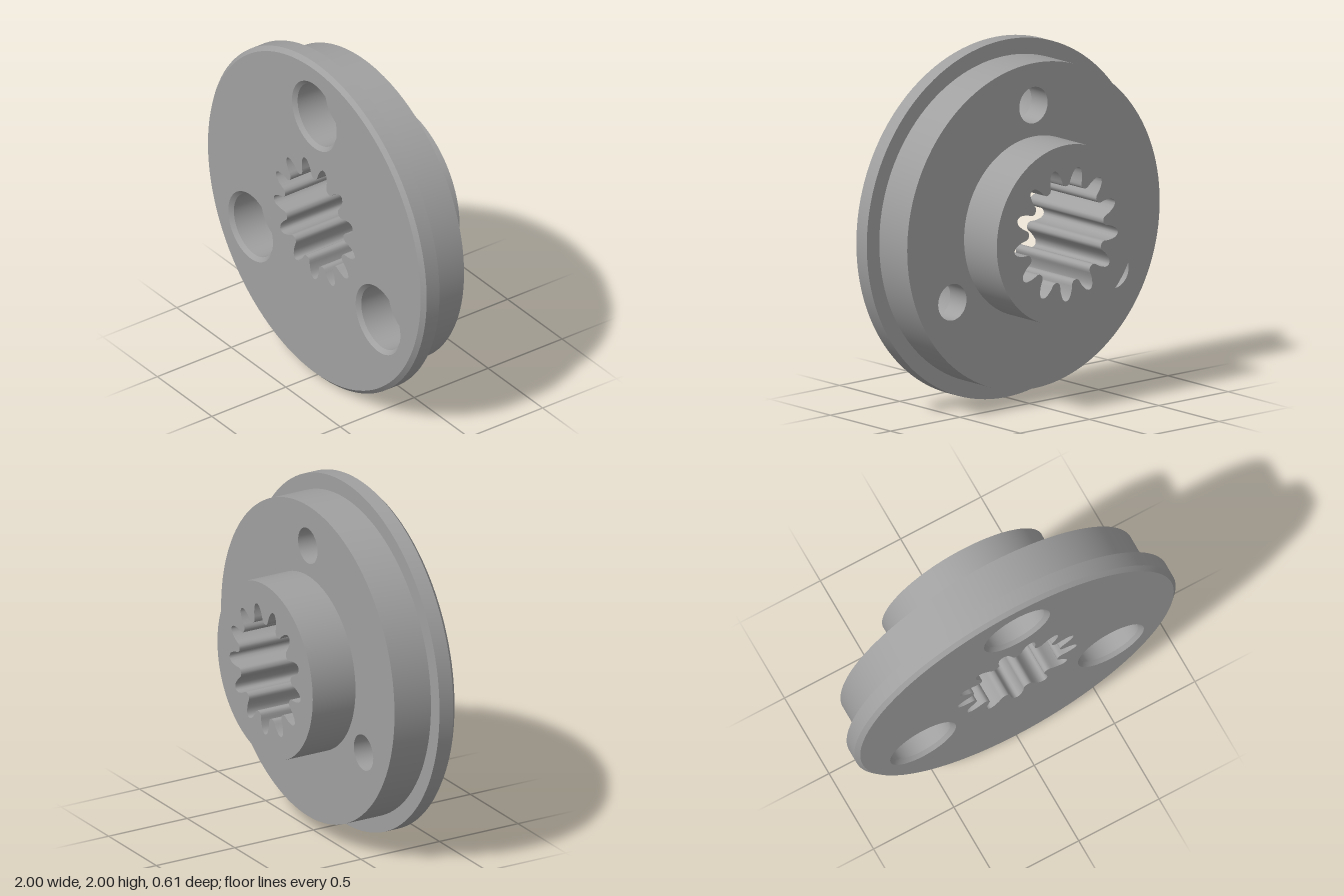
import * as THREE from 'three';

const steel = new THREE.MeshStandardMaterial({ color: 0xa0a0a0 });
steel.name = 'steel grey';

// z stations, front to back
const FRONT = 0.307, CHAMFER = 0.284, FLANGE = 0.197, FLOOR = 0.1, BODY = -0.035, BACK = -0.307;
const TEETH = 13, BOLT_CIRCLE = 0.675;

// Counter-clockwise circle outline
function circle(r, cx = 0, cy = 0, n = 128) {
  return Array.from({ length: n }, (_, i) => {
    const a = (i / n) * Math.PI * 2;
    return new THREE.Vector2(cx + r * Math.cos(a), cy + r * Math.sin(a));
  });
}

// Counter-clockwise outline of the splined bore, one groove pointing straight down
function splineOutline() {
  // radius and angle (degrees) from groove bottom to the rounded tooth tip
  const half = [[0.375, 0], [0.372, 1.8], [0.36, 4], [0.34, 5.7], [0.32, 7.1],
    [0.3, 8.1], [0.285, 8.8], [0.275, 10.4], [0.271, 12]];
  const groove = [
    ...half.slice(1).reverse().map(([r, a]) => [r, -a]),
    ...half,
    [0.27, 180 / TEETH],
  ];
  const points = [];
  for (let i = 0; i < TEETH; i++) {
    for (const [r, a] of groove) {
      const t = THREE.MathUtils.degToRad(-90 + (i * 360) / TEETH + a);
      points.push(new THREE.Vector2(r * Math.cos(t), r * Math.sin(t)));
    }
  }
  return points;
}

// Smooth wall between two matching outlines; faces outward when zA > zB, inward otherwise
function wall(name, a, zA, b, zB) {
  const n = a.length, pos = [], index = [];
  a.forEach(p => pos.push(p.x, p.y, zA));
  b.forEach(p => pos.push(p.x, p.y, zB));
  for (let i = 0; i < n; i++) {
    const j = (i + 1) % n;
    index.push(i, n + i, j, j, n + i, n + j);
  }
  const g = new THREE.BufferGeometry();
  g.setAttribute('position', new THREE.Float32BufferAttribute(pos, 3));
  g.setIndex(index);
  g.computeVertexNormals();
  return named(name, g);
}

// Flat face with holes, looking forward or backward
function face(name, outline, holes, z, backward = false) {
  const shape = new THREE.Shape(outline);
  shape.holes = holes.map(h => new THREE.Path(h));
  const g = new THREE.ShapeGeometry(shape);
  if (backward) g.rotateY(Math.PI);
  g.translate(0, 0, z);
  return named(name, g);
}

function named(name, geometry) {
  const mesh = new THREE.Mesh(geometry, steel);
  mesh.name = name;
  return mesh;
}

export function createModel() {
  const model = new THREE.Group();
  model.name = 'splinedHubFlange';
  const disc = new THREE.Group();
  disc.name = 'steppedDisc';
  disc.position.y = 1;
  model.add(disc);

  const bore = splineOutline();
  const rim = circle(1), rimFront = circle(0.976), body = circle(0.91), hub = circle(0.5);
  const bolts = [90, 210, 330].map(d => {
    const a = THREE.MathUtils.degToRad(d);
    return [BOLT_CIRCLE * Math.cos(a), BOLT_CIRCLE * Math.sin(a)];
  });
  const holeAt = r => bolts.map(([x, y]) => circle(r, x, y, 64));
  const lips = holeAt(0.205), bores = holeAt(0.183), holes = holeAt(0.102);

  // Stepped outside, front to back
  disc.add(
    face('frontFace', rimFront, [bore, ...lips], FRONT),
    wall('rimChamfer', rimFront, FRONT, rim, CHAMFER),
    wall('flangeRim', rim, CHAMFER, rim, FLANGE),
    face('flangeBack', rim, [body], FLANGE, true),
    wall('bodyWall', body, FLANGE, body, BODY),
    face('bodyBack', body, [hub, ...holes], BODY, true),
    wall('hubWall', hub, BODY, hub, BACK),
    face('hubBack', hub, [bore], BACK, true),
    wall('splinedBore', bore, BACK, bore, FRONT),
  );

  // Three counterbored bolt holes
  bolts.forEach((_, i) => {
    const bolt = new THREE.Group();
    bolt.name = 'boltHole' + (i + 1);
    bolt.add(
      wall('counterboreChamfer', bores[i], FRONT - 0.022, lips[i], FRONT),
      wall('counterboreWall', bores[i], FLOOR, bores[i], FRONT - 0.022),
      face('counterboreFloor', bores[i], [holes[i]], FLOOR),
      wall('throughHole', holes[i], BODY, holes[i], FLOOR),
    );
    disc.add(bolt);
  });

  return model;
}
